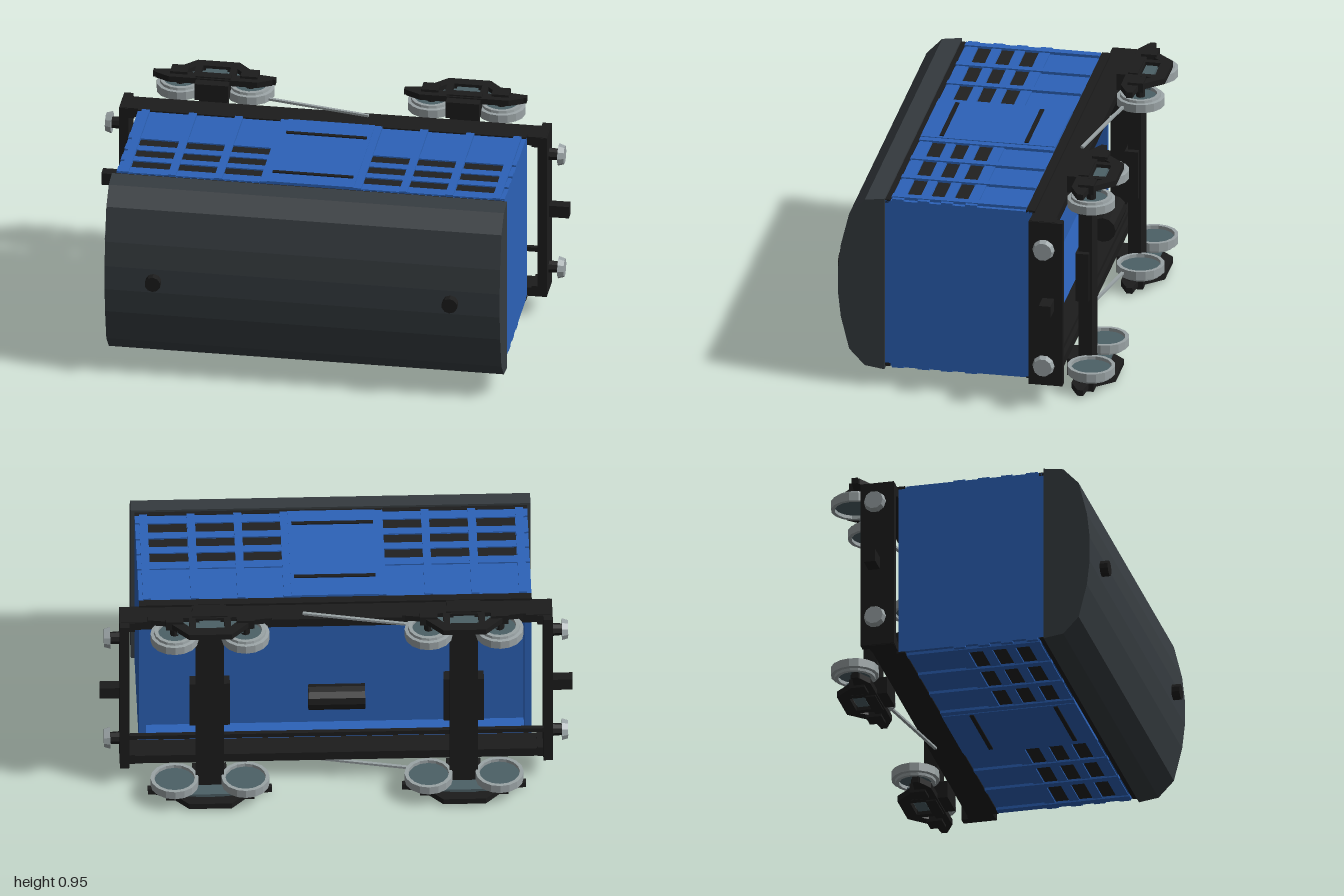
import * as THREE from 'three';

const C = 0.478; // height of the wagon's long axis
const mat = (color, side = THREE.FrontSide) =>
  new THREE.MeshStandardMaterial({ color, side, flatShading: true });
const BLUE = mat(0x2c62b8), BLACK = mat(0x1c1c1c), ROOF = mat(0x363c40);
const STEEL = mat(0x9aa3a5), TEAL = mat(0x4c6066), DARK = mat(0x202020);

export function createModel() {
  const model = new THREE.Group();
  const group = (name, parent = model) => {
    const g = new THREE.Group();
    g.name = name;
    parent.add(g);
    return g;
  };
  const add = (parent, name, geo, m) => {
    const mesh = new THREE.Mesh(geo, m);
    mesh.name = name;
    parent.add(mesh);
    return mesh;
  };
  // box given by its limits on each axis
  const box = (parent, name, m, [x0, x1], [y0, y1], [z0, z1]) => {
    const mesh = add(parent, name, new THREE.BoxGeometry(x1 - x0, Math.abs(y1 - y0), z1 - z0), m);
    mesh.position.set((x0 + x1) / 2, (y0 + y1) / 2, (z0 + z1) / 2);
    return mesh;
  };
  const poly = (pts) => pts.map(([a, b]) => new THREE.Vector2(a, b));

  // body: closed upper box with an open skirt below the floor
  const body = group('body');
  box(body, 'bodyShell', BLUE, [-0.83, 0.83], [C - 0.382, C + 0.382], [-0.14, 0.37]);
  const rect = (w, h) => poly([[-w, C - h], [w, C - h], [w, C + h], [-w, C + h]]);
  const skirt = new THREE.Shape(rect(0.83, 0.382));
  skirt.holes.push(new THREE.Path(rect(0.8, 0.36)));
  add(body, 'bodySkirt', new THREE.ExtrudeGeometry(skirt, { depth: 0.13, bevelEnabled: false }), BLUE)
    .position.z = -0.27;

  // roof: faceted arch swept along the length
  const half = [[0.365, 0.395], [0.45, 0.383], [0.517, 0.312], [0.553, 0.165], [0.565, 0.055]];
  const arch = [...half.map(([z, d]) => [-z, d]), ...half.slice().reverse().map(([z, d]) => [-z, -d])];
  const roofGeo = new THREE.ExtrudeGeometry(new THREE.Shape(poly(arch)), { depth: 1.69, bevelEnabled: false });
  roofGeo.rotateY(Math.PI / 2).translate(-0.845, C, 0);
  add(model, 'roof', roofGeo, ROOF);
  for (const x of [-0.635, 0.635]) {
    const vent = add(model, 'roofVent', new THREE.CylinderGeometry(0.034, 0.034, 0.06, 10), BLACK);
    vent.rotation.x = Math.PI / 2;
    vent.position.set(x, C, 0.57);
  }

  // side walls: ribs, rails, louvres and the sliding door
  for (const s of [-1, 1]) {
    const wall = group('sideWall');
    const layer = (d) => [C + s * 0.37, C + s * d].sort((a, b) => a - b);
    box(wall, 'eavesStrip', BLACK, [-0.83, 0.83], layer(0.385), [0.342, 0.368]);
    box(wall, 'door', BLUE, [-0.185, 0.185], layer(0.397), [-0.24, 0.34]);
    for (const z of [-0.113, 0.252])
      box(wall, 'doorRail', BLACK, [-0.175, 0.17], layer(0.402), [z - 0.009, z + 0.009]);
    for (const side of [-1, 1]) {
      for (const x of [0.2, 0.396, 0.593, 0.795])
        box(wall, 'rib', BLUE, [side * x - 0.017, side * x + 0.017], layer(0.394), [-0.24, 0.34]);
      for (const x of [0.297, 0.494, 0.694]) {
        const c = side * x;
        for (const z of [-0.05, 0.151, 0.253].map((v, i) => (i ? v : 0.05)))
          box(wall, 'louvre', DARK, [c - 0.082, c + 0.082], layer(0.384), [z - 0.028, z + 0.028]);
        for (const [z0, z1] of [[-0.028, 0.018], [0.08, 0.122], [0.182, 0.222], [0.283, 0.335]])
          box(wall, 'rail', BLUE, [c - 0.085, c + 0.085], layer(0.388), [z0, z1]);
      }
      for (const z of [-0.005, 0.1, 0.2, 0.31])
        box(wall, 'cornerPlate', BLUE, [side * 0.82 - 0.01, side * 0.82 + 0.01], layer(0.39), [z - 0.025, z + 0.025]);
    }
  }

  // underframe
  const frame = group('underframe');
  for (const s of [-1, 1]) {
    box(frame, 'soleBar', BLACK, [-0.91, 0.91], [C + s * 0.338, C + s * 0.378], [-0.38, -0.272]);
    box(frame, 'soleBarTop', BLACK, [-0.83, 0.83], [C + s * 0.375, C + s * 0.388], [-0.28, -0.242]);
    box(frame, 'endBeam', BLACK, [s * 0.895 - 0.02, s * 0.895 + 0.02], [C - 0.376, C + 0.376], [-0.415, -0.27]);
    box(frame, 'coupler', BLACK, [s * 0.955 - 0.045, s * 0.955 + 0.045], [C - 0.027, C + 0.027], [-0.38, -0.33]);
    for (const t of [-1, 1]) {
      box(frame, 'cornerBlock', BLACK, [s * 0.875 - 0.025, s * 0.875 + 0.025],
        [C + t * 0.33, C + t * 0.376], [-0.385, -0.272]);
      // buffers
      const buffer = group('buffer', frame);
      buffer.position.set(s * 0.91, C + t * 0.268, -0.342);
      buffer.rotation.z = -s * Math.PI / 2;
      add(buffer, 'bufferShank', new THREE.CylinderGeometry(0.024, 0.028, 0.06, 8), BLACK).position.y = 0.03;
      add(buffer, 'bufferHead', new THREE.CylinderGeometry(0.04, 0.048, 0.026, 10), STEEL).position.y = 0.058;
    }
    // brake lever on each side
    const a = new THREE.Vector3(-0.3, C + s * 0.384, -0.435), b = new THREE.Vector3(0.14, C + s * 0.384, -0.347);
    const lever = add(frame, 'brakeLever', new THREE.BoxGeometry(a.distanceTo(b), 0.01, 0.013), STEEL);
    lever.position.copy(a).lerp(b, 0.5);
    lever.rotation.y = -Math.atan2(b.z - a.z, b.x - a.x);
  }
  box(frame, 'brakeRod', BLACK, [-0.9, 0.9], [0.25, 0.27], [-0.41, -0.39]);
  const tank = add(frame, 'brakeCylinder', new THREE.CylinderGeometry(0.055, 0.055, 0.24, 12), BLACK);
  tank.rotation.z = Math.PI / 2;
  tank.position.set(0, C, -0.432);

  // bogie parts shared by all corners
  const sideShape = new THREE.Shape(poly([[-0.25, -0.45], [-0.25, -0.482], [-0.18, -0.492], [-0.09, -0.588],
    [0.09, -0.588], [0.18, -0.492], [0.25, -0.482], [0.25, -0.45], [0.19, -0.418], [-0.19, -0.418]]));
  sideShape.holes.push(new THREE.Path(poly([[-0.06, -0.475], [0.06, -0.475], [0.06, -0.54], [-0.06, -0.54]])));
  for (const t of [-1, 1])
    sideShape.holes.push(new THREE.Path(poly([[t * 0.088, -0.47], [t * 0.088, -0.53], [t * 0.14, -0.47]])));
  const sideGeo = new THREE.ExtrudeGeometry(sideShape, { depth: 0.026, bevelEnabled: false })
    .rotateX(Math.PI / 2).translate(0, 0.013, 0);
  const rimGeo = new THREE.LatheGeometry(poly([[0.086, 0.008], [0.086, -0.025], [0.102, -0.025], [0.102, 0.012],
    [0.088, 0.014], [0.086, 0.025], [0.07, 0.025], [0.07, 0.008], [0.086, 0.008]]), 16);
  const discGeo = new THREE.CylinderGeometry(0.087, 0.087, 0.02, 16);

  for (const x of [-0.537, 0.537]) {
    const bogie = group('bogie');
    bogie.position.x = x;
    box(bogie, 'bolster', BLACK, [-0.06, 0.06], [C - 0.42, C + 0.42], [-0.48, -0.422]);
    box(bogie, 'pivotPad', BLACK, [-0.085, 0.085], [C - 0.11, C + 0.11], [-0.47, -0.413]);
    for (const s of [-1, 1]) {
      const at = (d0, d1) => [C + s * d0, C + s * d1];
      box(bogie, 'bolsterEnd', BLACK, [-0.072, 0.072], at(0.385, 0.46), [-0.47, -0.375]);
      add(bogie, 'sideFrame', sideGeo, BLACK).position.y = C + s * 0.453;
      box(bogie, 'springPack', TEAL, [-0.14, 0.14], at(0.43, 0.445), [-0.535, -0.47]);
      box(bogie, 'spring', TEAL, [-0.045, 0.045], at(0.44, 0.458), [-0.53, -0.48]);
      box(bogie, 'frameRib', BLACK, [-0.075, 0.075], at(0.44, 0.472), [-0.468, -0.425]);
      for (const t of [-1, 1]) {
        const wx = t * 0.15;
        box(bogie, 'axleBox', BLACK, [wx - 0.037, wx + 0.037], at(0.435, 0.477), [-0.512, -0.445]);
        box(bogie, 'frameTip', BLACK, [t * 0.25 - 0.012, t * 0.25 + 0.012], at(0.44, 0.466), [-0.482, -0.455]);
        const wheel = group('wheel', bogie);
        wheel.position.set(wx, C + s * 0.393, -0.495);
        wheel.rotation.x = s < 0 ? Math.PI : 0;
        add(wheel, 'wheelRim', rimGeo, mat(0x9aa3a5, THREE.DoubleSide));
        add(wheel, 'wheelDisc', discGeo, TEAL);
        add(wheel, 'axleStub', new THREE.CylinderGeometry(0.02, 0.02, 0.06, 8), BLACK).position.y = 0.03;
      }
    }
  }
  return model;
}
